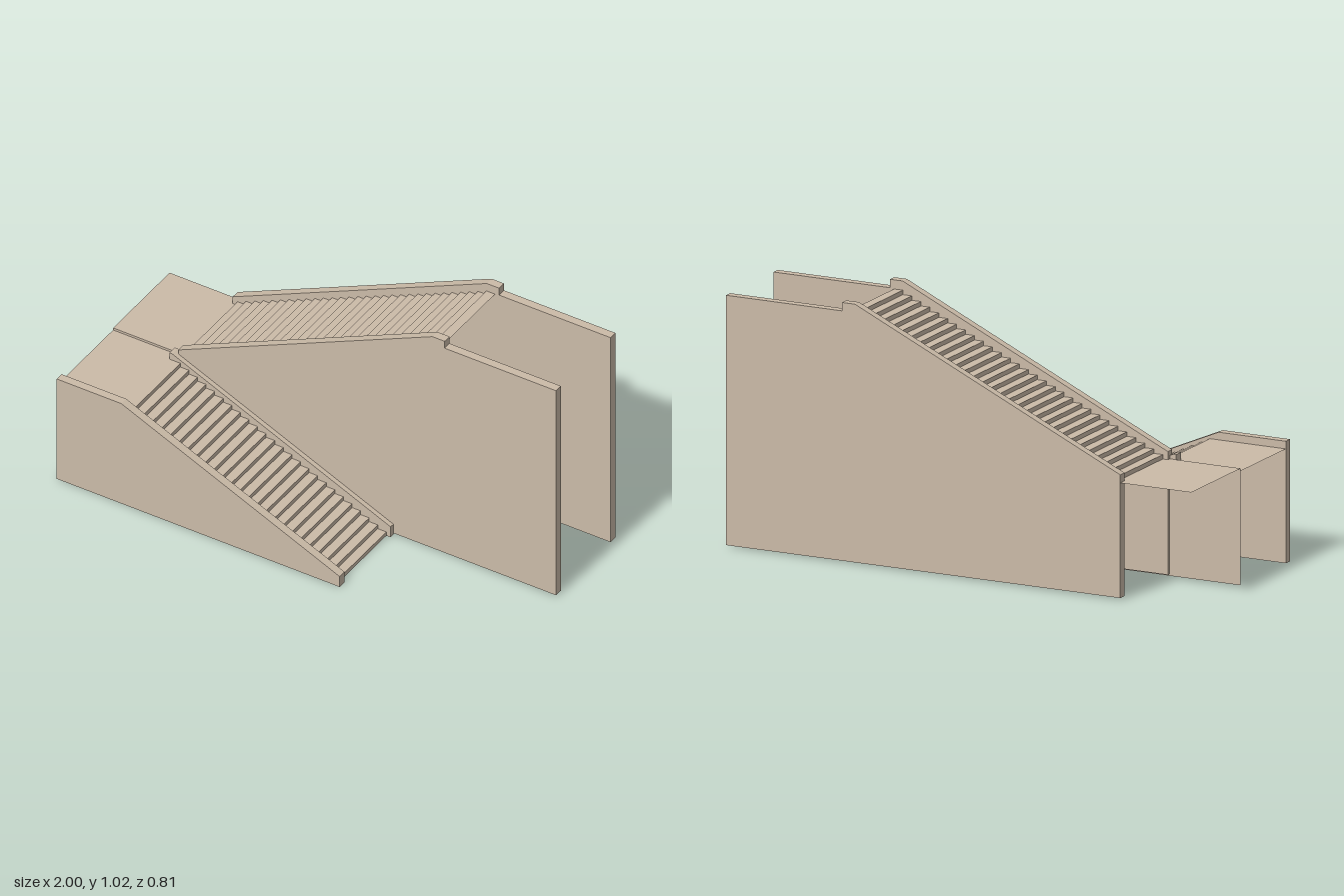
import * as THREE from 'three';

const stone = new THREE.MeshStandardMaterial({ color: 0xcbbba8 });
const thin = new THREE.MeshStandardMaterial({ color: 0xcbbba8, side: THREE.DoubleSide });

// Solid wall: side profile in x/y, extruded from z0 to z1
function wall(name, points, z0, z1) {
  const shape = new THREE.Shape(points.map(([x, y]) => new THREE.Vector2(x, y)));
  const geo = new THREE.ExtrudeGeometry(shape, { depth: z1 - z0, bevelEnabled: false });
  geo.translate(0, 0, z0);
  const mesh = new THREE.Mesh(geo, stone);
  mesh.name = name;
  return mesh;
}

// Folded sheet: open x/y path swept from z0 to z1, flat-faced; path runs toward +x
function sheet(name, path, z0, z1) {
  const pos = [];
  for (let i = 0; i < path.length - 1; i++) {
    const [ax, ay] = path[i], [bx, by] = path[i + 1];
    pos.push(ax, ay, z0, ax, ay, z1, bx, by, z1, ax, ay, z0, bx, by, z1, bx, by, z0);
  }
  const geo = new THREE.BufferGeometry();
  geo.setAttribute('position', new THREE.Float32BufferAttribute(pos, 3));
  geo.computeVertexNormals();
  const mesh = new THREE.Mesh(geo, thin);
  mesh.name = name;
  return mesh;
}

export function createModel() {
  const group = new THREE.Group();
  const run = 0.0385;
  const stairX = -0.673;
  const lowY = 0.45, midY = 0.46, topY = 0.987;

  // Lower flight: 25 risers descending toward +x
  const lowerPath = [[stairX, lowY]];
  const lowRise = lowY / 25;
  for (let i = 0; i < 25; i++) {
    const x = stairX + i * run;
    lowerPath.push([x, lowY - (i + 1) * lowRise]);
    if (i < 24) lowerPath.push([x + run, lowY - (i + 1) * lowRise]);
  }
  group.add(sheet('lowerSteps', lowerPath, 0.04, 0.37));

  // Upper flight: 30 risers climbing toward +x
  const upperPath = [[stairX, midY]];
  const upRise = (topY - midY) / 30;
  for (let i = 0; i < 30; i++) {
    const x = stairX + i * run, y = midY + (i + 1) * upRise;
    upperPath.push([x, y], [x + run, y]);
  }
  group.add(sheet('upperSteps', upperPath, -0.37, -0.015));

  // Landings, the rear one slightly higher
  group.add(sheet('lowerLanding', [[-1, lowY], [stairX, lowY]], 0, 0.37));
  group.add(sheet('upperLanding', [[-1, midY], [-0.69, midY]], -0.405, 0));
  group.add(sheet('upperLandingEdge', [[-0.69, midY], [stairX, midY]], -0.37, -0.015));

  // Thin partition under the landings
  const partition = new THREE.Mesh(new THREE.PlaneGeometry(0.31, midY), thin);
  partition.name = 'landingPartition';
  partition.position.set(-0.845, midY / 2, 0);
  group.add(partition);

  // Side walls of the lower flight
  const lowerWall = (x0) => [[x0, 0], [0.27, 0], [0.27, 0.05], [-0.71, 0.48], [x0, 0.48]];
  group.add(wall('lowerOuterWall', lowerWall(-1), 0.37, 0.405));
  group.add(wall('lowerInnerWall', lowerWall(-0.722), 0.001, 0.04));

  // Side walls of the upper flight
  const upperWall = [[-0.695, 0.007], [1, 0.007], [1, 0.99], [0.5, 0.99],
    [0.5, 1.023], [0.445, 1.023], [-0.695, 0.492]];
  group.add(wall('upperInnerWall', upperWall, -0.015, 0.02));
  group.add(wall('upperOuterWall', upperWall, -0.405, -0.37));

  return group;
}
